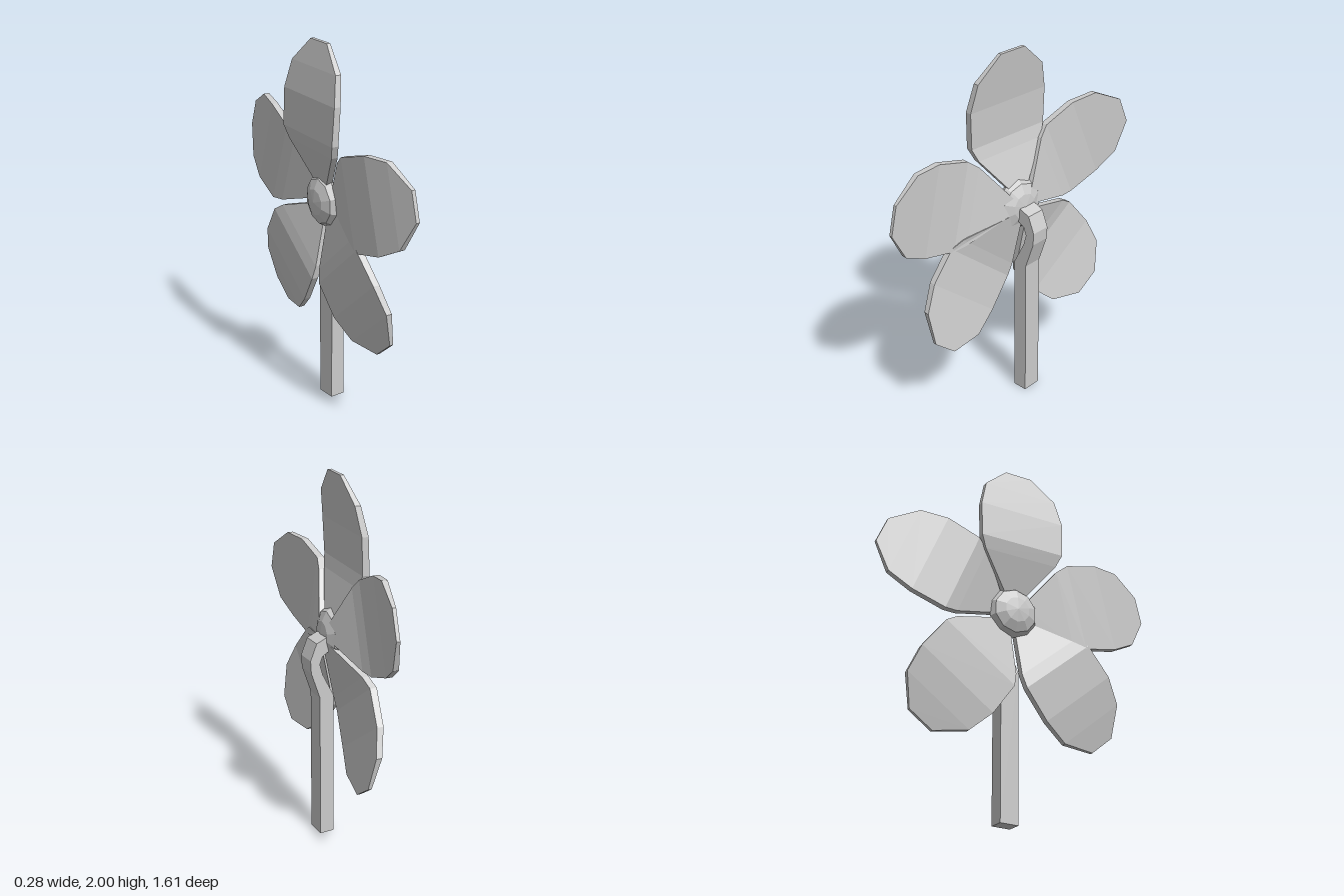
import * as THREE from 'three';

const material = new THREE.MeshStandardMaterial({ color: 0xcccccc, flatShading: true });

// Petal cross-sections: distance from centre, half width, depth, thickness
const SECTIONS = [
  [0.08, 0.045, -0.005, 0.036],
  [0.3, 0.212, -0.07, 0.036],
  [0.37, 0.243, -0.085, 0.038],
  [0.57, 0.248, -0.072, 0.036],
  [0.72, 0.213, -0.044, 0.032],
  [0.848, 0.078, -0.016, 0.02],
];

// Petals: angle in degrees, length scale, shift along x
const PETALS = [
  [89, 1, -0.01],
  [14, 0.98, 0.012],
  [-50, 1, 0.012],
  [-126, 1, 0.012],
  [158, 0.97, 0.012],
];

// A segmented box reshaped to the cross-sections; it grows along +y and faces -x
function petalGeometry() {
  const n = SECTIONS.length - 1;
  const geometry = new THREE.BoxGeometry(1, 1, 1, 1, n, 1);
  const p = geometry.attributes.position;
  for (let i = 0; i < p.count; i++) {
    const [r, halfWidth, depth, thickness] = SECTIONS[Math.round((p.getY(i) + 0.5) * n)];
    p.setXYZ(i, depth + p.getX(i) * thickness, r, p.getZ(i) * 2 * halfWidth);
  }
  geometry.computeVertexNormals();
  return geometry;
}

function createFlower() {
  const flower = new THREE.Group();
  flower.name = 'flower';

  // Five petals around the hub
  const geometry = petalGeometry();
  PETALS.forEach(([angle, length, shift], i) => {
    const petal = new THREE.Mesh(geometry, material);
    petal.name = `petal${i + 1}`;
    petal.rotation.x = THREE.MathUtils.degToRad(90 - angle);
    petal.scale.y = length;
    petal.position.x = shift;
    flower.add(petal);
  });

  // Flattened faceted hub
  const hubGeometry = new THREE.SphereGeometry(1, 10, 6);
  hubGeometry.rotateZ(Math.PI / 2);
  hubGeometry.scale(0.065, 0.142, 0.142);
  const hub = new THREE.Mesh(hubGeometry, material);
  hub.name = 'hub';
  hub.position.x = -0.02;
  flower.add(hub);

  flower.position.set(0, 1.15, -0.013);
  flower.rotation.set(0, -0.09, 0.025);
  return flower;
}

// Square stem with a crook that meets the back of the hub
function createStem() {
  const width = 0.107;
  const outline = [
    [0, 0], [0.081, 0], [0.081, 0.82], [0.132, 0.97], [0.136, 1.04], [0.1, 1.13],
    [0.04, 1.155], [0.02, 1.08], [0.065, 1.055], [0.082, 1.01], [0.065, 0.95], [0, 0.82],
  ].map(([x, y]) => new THREE.Vector2(x, y));
  const geometry = new THREE.ExtrudeGeometry(new THREE.Shape(outline), {
    depth: width, bevelEnabled: false,
  });
  const stem = new THREE.Mesh(geometry, material);
  stem.name = 'stem';
  stem.position.z = -0.022 - width / 2;
  return stem;
}

export function createModel() {
  const model = new THREE.Group();
  model.name = 'flowerOnStem';
  model.add(createFlower(), createStem());
  return model;
}
